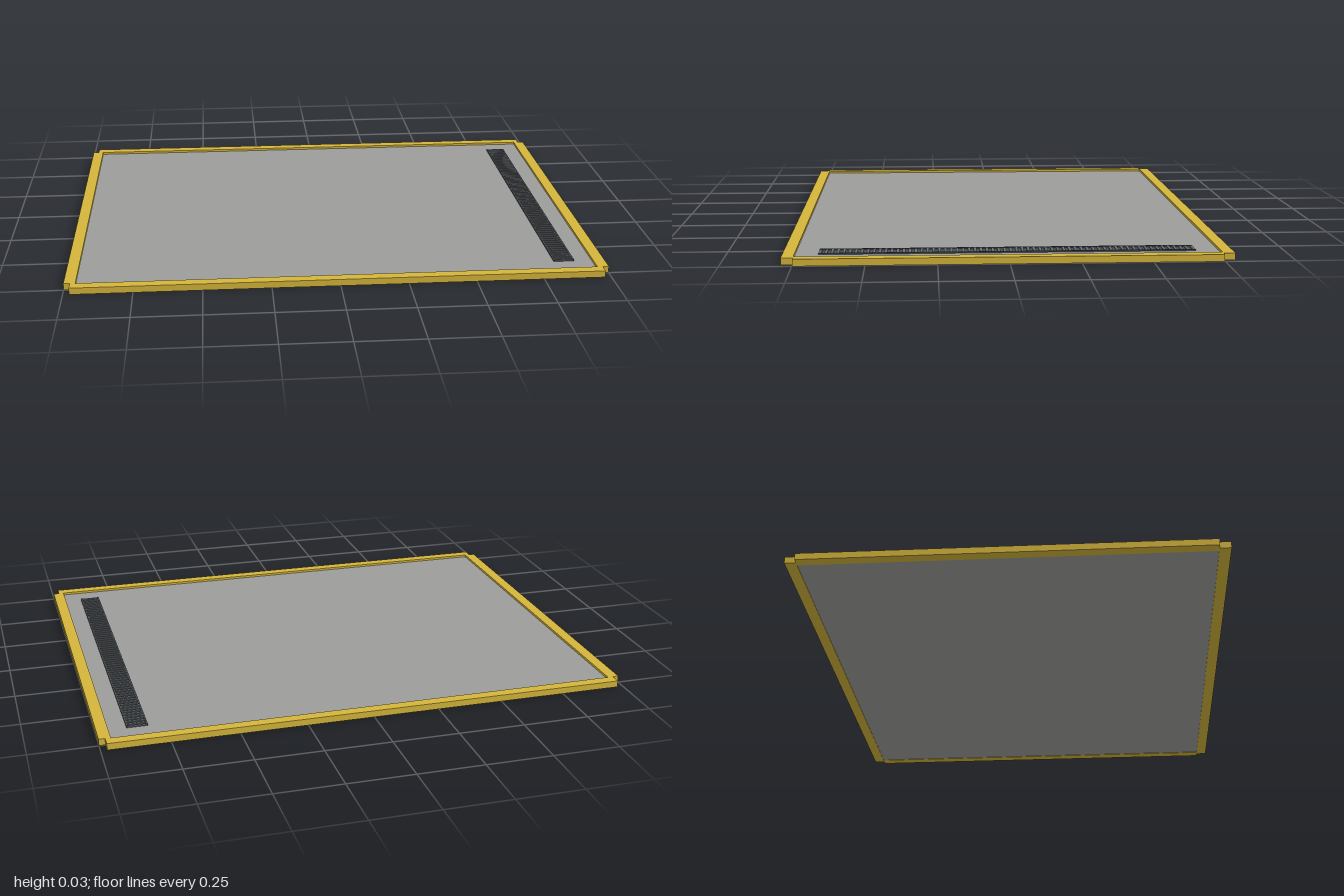
import * as THREE from 'three';

export function createModel() {
  const model = new THREE.Group();
  const yellow = new THREE.MeshStandardMaterial({ color: 0xd4b53a });
  const grey = new THREE.MeshStandardMaterial({ color: 0x9c9c9a });
  const dark = new THREE.MeshStandardMaterial({ color: 0x4a4f54 });
  const steel = new THREE.MeshStandardMaterial({ color: 0x6c7176 });

  // Box given by its lower and upper corner on each axis
  function box(parent, name, material, [x0, x1], [y0, y1], [z0, z1]) {
    const mesh = new THREE.Mesh(new THREE.BoxGeometry(x1 - x0, y1 - y0, z1 - z0), material);
    mesh.position.set((x0 + x1) / 2, (y0 + y1) / 2, (z0 + z1) / 2);
    mesh.name = name;
    parent.add(mesh);
  }

  // Floor slab, slightly recessed in the frame
  box(model, 'floorSlab', grey, [-0.957, 0.957], [0.002, 0.016], [-0.748, 0.748]);

  // Edge rails: the long pair overlaps the ends, leaving notched corners
  const height = [0, 0.025];
  box(model, 'frontRail', yellow, [-0.977, 0.977], height, [0.748, 0.79]);
  box(model, 'backRail', yellow, [-0.977, 0.977], height, [-0.79, -0.748]);
  box(model, 'leftRail', yellow, [0.957, 1], height, [-0.748, 0.748]);
  box(model, 'rightRail', yellow, [-1, -0.957], height, [-0.748, 0.748]);

  // Drain grate near the left edge: tray, two side bars and cross slats
  const grate = new THREE.Group();
  grate.name = 'drainGrate';
  model.add(grate);
  const end = 0.667, x0 = 0.812, x1 = 0.89, slats = 64;
  box(grate, 'grateTray', dark, [x0, x1], [0.014, 0.017], [-end, end]);
  box(grate, 'grateInnerBar', dark, [x0, x0 + 0.006], [0.016, 0.021], [-end, end]);
  box(grate, 'grateOuterBar', dark, [x1 - 0.006, x1], [0.016, 0.021], [-end, end]);
  const pitch = (2 * end - 0.01) / (slats - 1);
  for (let i = 0; i < slats; i++) {
    const z = -end + i * pitch;
    box(grate, 'grateSlat', steel, [x0 + 0.006, x1 - 0.006], [0.016, 0.02], [z, z + 0.01]);
  }
  return model;
}
